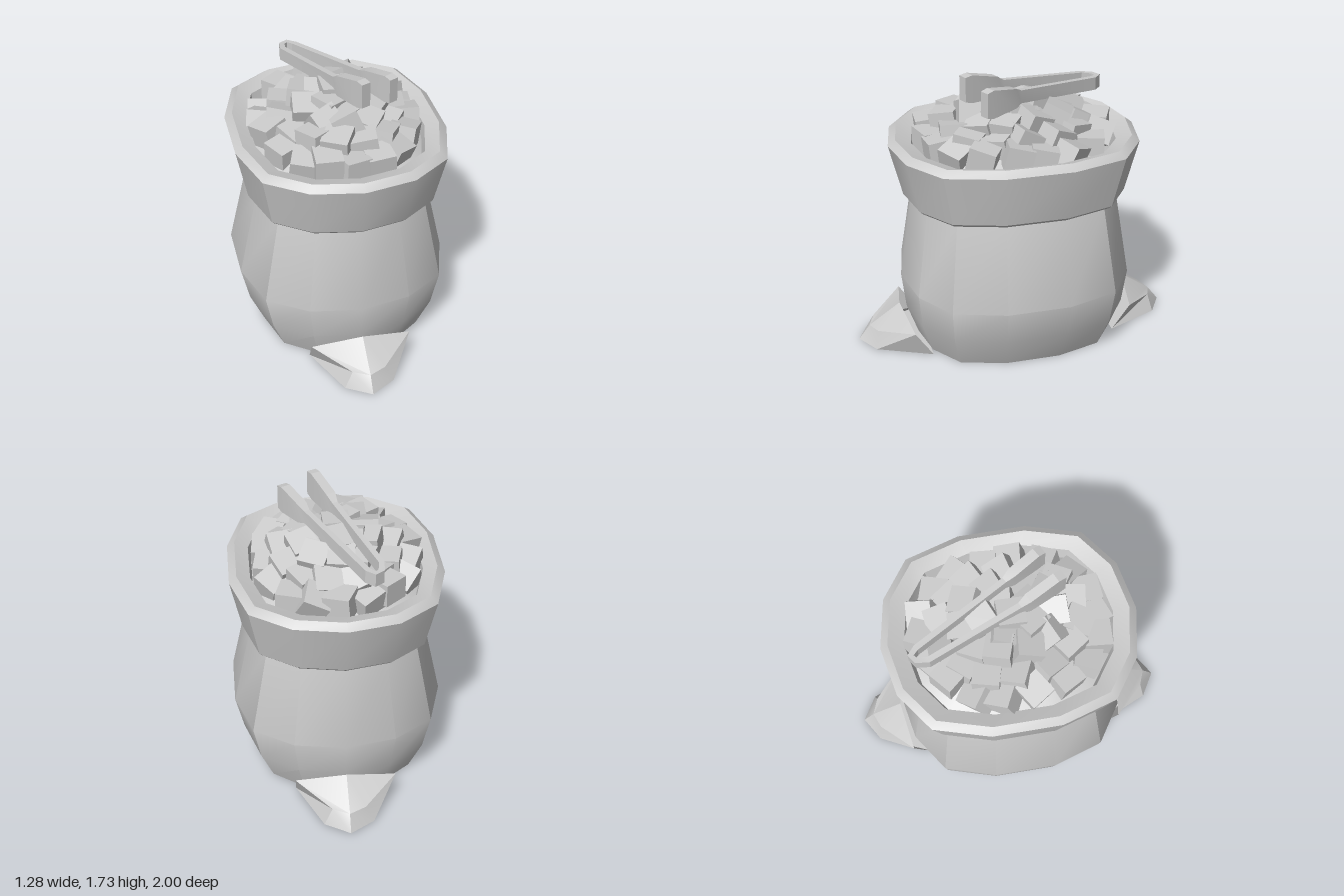
import * as THREE from 'three';
import { toCreasedNormals } from 'three/addons/utils/BufferGeometryUtils.js';

const material = new THREE.MeshStandardMaterial({ color: 0xcccccc, side: THREE.DoubleSide });

function meshFrom(positions, name, crease) {
  const flat = new THREE.BufferGeometry();
  flat.setAttribute('position', new THREE.Float32BufferAttribute(positions.flat(), 3));
  const mesh = new THREE.Mesh(toCreasedNormals(flat, crease), material);
  mesh.name = name;
  return mesh;
}

// Skin a list of rings, each a list of [x, y, z], with optional end caps
function loft(rings, name, { crease = 0.5, capStart = false, capEnd = false } = {}) {
  const out = [];
  const n = rings[0].length;
  for (let i = 0; i < rings.length - 1; i++) {
    const a = rings[i], b = rings[i + 1];
    for (let j = 0; j < n; j++) {
      const k = (j + 1) % n;
      out.push(a[j], a[k], b[k], a[j], b[k], b[j]);
    }
  }
  const first = rings[0], last = rings[rings.length - 1];
  for (let j = 1; j < n - 1; j++) {
    if (capStart) out.push(first[0], first[j + 1], first[j]);
    if (capEnd) out.push(last[0], last[j], last[j + 1]);
  }
  return meshFrom(out, name, crease);
}

// Fourteen-sided oval plan shared by the sack and its cuff, as fractions of the half sizes
const quarter = [[0, 1], [0.475, 0.925], [0.845, 0.705], [1, 0.27]];
const oval = [
  ...quarter,
  ...quarter.slice().reverse().map(([x, z]) => [x, -z]),
  ...quarter.slice(1).map(([x, z]) => [-x, -z]),
  ...quarter.slice(1).reverse().map(([x, z]) => [-x, z]),
];
const ovalRing = ([rx, rz, y]) => oval.map(([x, z]) => [x * rx, y, z * rz]);

// Pinched corner of the sack at the base; side is +1 in front, -1 behind
function sackCorner(side) {
  const out = [];
  const quad = (a, b, c, d) => out.push(a, b, c, a, c, d);
  for (const s of [1, -1]) {
    const p = (x, y, z) => [x * s, y, z * side];
    const top = p(0, 0.225, 0.735), wing = p(0.305, 0.165, 0.69), wingFoot = p(0.295, 0, 0.58);
    const ridge = p(0, 0.09, 0.93), shoulder = p(0.1, 0.1, 0.89);
    const toe = p(0.15, 0, 0.91), tip = p(0, 0, 1), inner = p(0, 0, 0.58);
    const faces = [
      [top, ridge, shoulder, wing],
      [wing, shoulder, toe, wingFoot],
      [ridge, tip, toe, shoulder],
      [inner, wingFoot, toe, tip],
    ];
    for (const f of faces) quad(...(s * side > 0 ? f : f.reverse()));
  }
  return meshFrom(out, side > 0 ? 'frontCorner' : 'backCorner', 0.35);
}

// Heap of cubes in oval layers: [count, rx, rz, y, tilt]
function cubeHeap() {
  const heap = new THREE.Group();
  heap.name = 'cubeHeap';
  let seed = 11;
  const rand = () => (seed = (seed * 16807) % 2147483647) / 2147483647 - 0.5;
  const cube = new THREE.BoxGeometry(0.16, 0.14, 0.16);
  const layers = [
    [18, 0.42, 0.51, 1.31, 0.6],
    [14, 0.32, 0.39, 1.37, 0.8],
    [10, 0.21, 0.27, 1.43, 0.9],
    [5, 0.1, 0.14, 1.47, 0.8],
    [1, 0, 0, 1.49, 0.4],
  ];
  layers.forEach(([count, rx, rz, y, tilt], layer) => {
    for (let i = 0; i < count; i++) {
      const a = ((i + 0.5 * (layer % 2)) / count) * Math.PI * 2;
      const m = new THREE.Mesh(cube, material);
      m.name = 'cube';
      m.position.set(Math.sin(a) * rx + rand() * 0.03, y + rand() * 0.06, Math.cos(a) * rz + rand() * 0.03);
      m.rotation.set(rand() * tilt + Math.cos(a) * 0.25, a + rand() * 0.9, rand() * tilt - Math.sin(a) * 0.25);
      heap.add(m);
    }
  });
  return heap;
}

// Tongs: one bent band, each section [x, y, z, height, thickness]
function tongs() {
  const sections = [
    [0.105, 1.65, 0.325, 0.15, 0.06],
    [0.085, 1.645, 0.28, 0.17, 0.06],
    [0.01, 1.615, 0.11, 0.13, 0.06],
    [-0.01, 1.605, 0.06, 0.08, 0.035],
    [-0.215, 1.53, -0.49, 0.08, 0.035],
    [-0.205, 1.522, -0.56, 0.08, 0.035],
    [-0.17, 1.52, -0.585, 0.08, 0.035],
    [-0.13, 1.522, -0.55, 0.08, 0.035],
    [0.16, 1.595, 0.0, 0.08, 0.035],
    [0.185, 1.6, 0.045, 0.12, 0.06],
    [0.27, 1.61, 0.2, 0.17, 0.06],
    [0.29, 1.61, 0.24, 0.15, 0.06],
  ];
  const rings = sections.map(([x, y, z, h, t], i) => {
    const a = sections[Math.max(i - 1, 0)], b = sections[Math.min(i + 1, sections.length - 1)];
    const dx = b[0] - a[0], dz = b[2] - a[2], len = Math.hypot(dx, dz);
    const nx = (dz / len) * t / 2, nz = (-dx / len) * t / 2;
    return [[-1, -1], [1, -1], [1, 1], [-1, 1]].map(([u, v]) => [x + u * nx, y + v * h / 2, z + u * nz]);
  });
  return loft(rings, 'tongs', { crease: 0.3, capStart: true, capEnd: true });
}

export function createModel() {
  const model = new THREE.Group();
  model.name = 'sackOfCubes';

  // Bulging sack: [half width, half depth, height]
  model.add(loft([
    [0.505, 0.62, 0], [0.59, 0.69, 0.2], [0.64, 0.715, 0.42], [0.52, 0.63, 0.965],
  ].map(ovalRing), 'sackBody', { capStart: true }));
  model.add(sackCorner(1), sackCorner(-1));

  // Rolled cuff with its inner wall
  model.add(loft([
    [0.51, 0.62, 0.955], [0.55, 0.66, 0.955], [0.57, 0.68, 0.975], [0.635, 0.76, 1.295],
    [0.59, 0.715, 1.33], [0.51, 0.62, 1.3], [0.49, 0.59, 1.2],
  ].map(ovalRing), 'rolledCuff'));

  // Filling that closes the gaps under the cubes
  model.add(loft([
    [0.5, 0.6, 1.22], [0.36, 0.44, 1.3], [0.18, 0.22, 1.4],
  ].map(ovalRing), 'filling', { capEnd: true }));

  model.add(cubeHeap(), tongs());
  return model;
}
